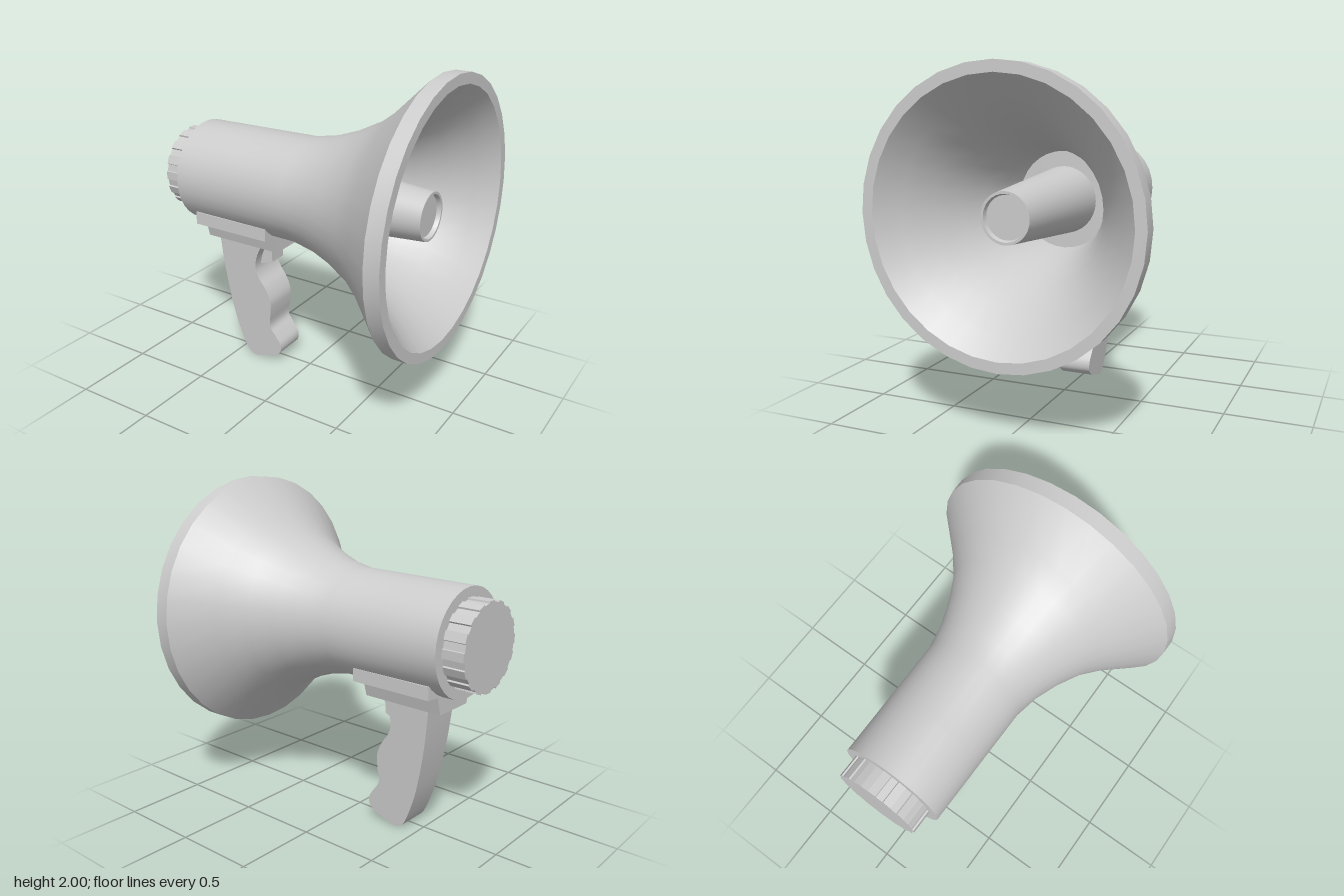
import * as THREE from 'three';
import { toCreasedNormals } from 'three/addons/utils/BufferGeometryUtils.js';

const AXIS_Y = 1.2;
const material = new THREE.MeshStandardMaterial({ color: 0xcccccc });

function part(name, geometry, crease = 0.5) {
  const mesh = new THREE.Mesh(toCreasedNormals(geometry, crease), material);
  mesh.name = name;
  return mesh;
}

// Revolves [x, radius] pairs around the horizontal axis of the horn
function revolve(points, sides = 32) {
  const profile = points.map(([x, r]) => new THREE.Vector2(r, x));
  return new THREE.LatheGeometry(profile, sides).rotateZ(-Math.PI / 2).translate(0, AXIS_Y, 0);
}

function polygon(points) {
  return new THREE.Shape(points.map(([x, y]) => new THREE.Vector2(x, y)));
}

// Extrudes a shape along z, centred on z = 0
function slab(shape, depth) {
  return new THREE.ExtrudeGeometry(shape, { depth, bevelEnabled: false, curveSegments: 4 })
    .translate(0, 0, -depth / 2);
}

export function createModel() {
  const group = new THREE.Group();
  group.name = 'megaphone';

  // Barrel, flared bell, rim and inner wall down to the throat
  group.add(part('horn', revolve([
    [-0.765, 0], [-0.765, 0.316], [-0.4, 0.319], [0, 0.323], [0.15, 0.352], [0.31, 0.41],
    [0.47, 0.492], [0.6, 0.593], [0.81, 0.8], [0.9, 0.8], [0.9, 0.738], [0.78, 0.63],
    [0.63, 0.52], [0.48, 0.435], [0.32, 0.367], [0.16, 0.316], [0, 0.292], [0, 0],
  ])));

  // Tapered centre tube with a recessed end
  group.add(part('centreTube', revolve([
    [-0.01, 0.202], [0.79, 0.142], [0.79, 0.127], [0.765, 0.12], [0.765, 0],
  ])));

  // Ridged cap at the back
  const teeth = 16, ridge = [];
  for (let i = 0; i < teeth; i++) {
    [[0, 0.258], [0.5, 0.258], [0.53, 0.248], [0.97, 0.248]].forEach(([t, r]) => {
      const a = ((i + t - 0.25) / teeth) * Math.PI * 2;
      ridge.push([r * Math.sin(a), r * Math.cos(a)]);
    });
  }
  const cap = slab(polygon(ridge.reverse()), 0.14).rotateY(Math.PI / 2).translate(-0.83, AXIS_Y, 0);
  group.add(part('rearCap', cap, 0.15));

  // Mounting bracket: wide saddle plate stepping in to a narrower block above the grip
  const section = polygon([
    [-0.13, 0.8], [0.13, 0.8], [0.16, 0.91], [0.25, 0.918],
    [0.25, 0.997], [-0.25, 0.997], [-0.25, 0.918], [-0.16, 0.91],
  ]);
  group.add(part('bracket', slab(section, 0.525).rotateY(Math.PI / 2).translate(-0.42, 0, 0), 0.2));

  // Pistol grip with finger grooves
  const grip = new THREE.Shape();
  grip.moveTo(-0.6, 0.82);
  grip.splineThru([
    [-0.575, 0.6], [-0.54, 0.4], [-0.495, 0.22], [-0.43, 0.055], [-0.39, 0.012], [-0.35, 0.002],
  ].map(([x, y]) => new THREE.Vector2(x, y)));
  grip.lineTo(-0.21, 0.045);
  grip.splineThru([
    [-0.165, 0.085], [-0.162, 0.14], [-0.2, 0.2], [-0.238, 0.26], [-0.228, 0.36], [-0.228, 0.44],
    [-0.262, 0.52], [-0.312, 0.59], [-0.332, 0.66], [-0.315, 0.74], [-0.275, 0.82],
  ].map(([x, y]) => new THREE.Vector2(x, y)));
  const gripGeometry = slab(grip, 1);
  const pos = gripGeometry.attributes.position;
  // Widen the grip slightly towards the top
  for (let i = 0; i < pos.count; i++) {
    pos.setZ(i, pos.getZ(i) * (0.2 + 0.065 * pos.getY(i)));
  }
  group.add(part('grip', gripGeometry));

  // Trigger
  const trigger = polygon([[-0.36, 0.655], [-0.33, 0.66], [-0.245, 0.69], [-0.245, 0.81], [-0.36, 0.81]]);
  group.add(part('trigger', slab(trigger, 0.12)));

  return group;
}
